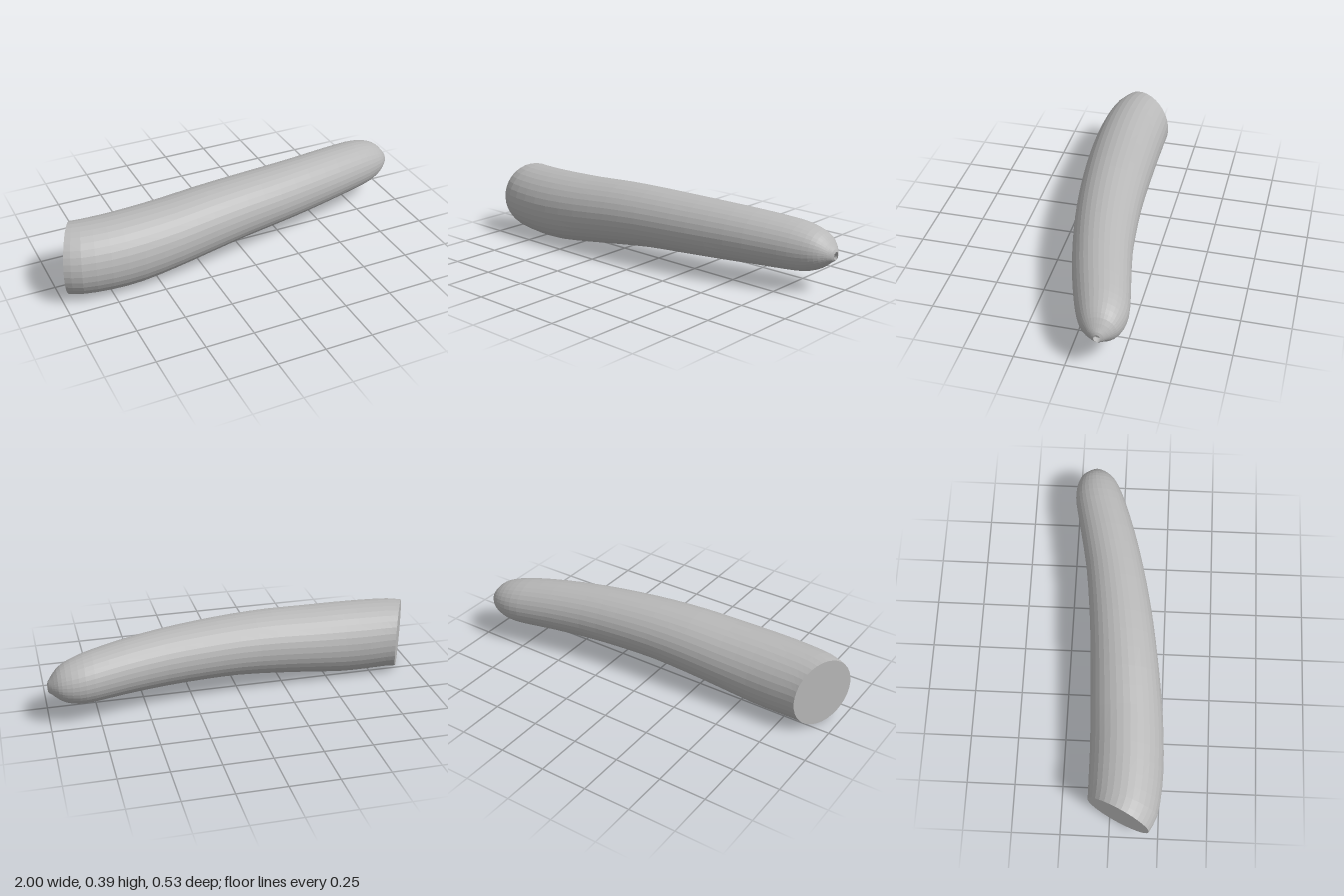
import * as THREE from 'three';

const SIDES = 34;
// Cross-sections: inner edge x,z; outer edge x,z; bottom y, top y
const SECTIONS = [
  [-0.85, -0.112, -1.0, 0.2, 0.01, 0.376],
  [-0.8, -0.112, -0.92, 0.239, 0.008, 0.379],
  [-0.71, -0.113, -0.77, 0.26, 0.003, 0.38],
  [-0.58, -0.114, -0.6, 0.262, 0.005, 0.383],
  [-0.4, -0.121, -0.4, 0.25, 0.029, 0.387],
  [-0.2, -0.13, -0.2, 0.227, 0.055, 0.396],
  [0, -0.142, 0, 0.199, 0.077, 0.397],
  [0.2, -0.16, 0.2, 0.165, 0.086, 0.392],
  [0.4, -0.185, 0.4, 0.122, 0.091, 0.384],
  [0.6, -0.224, 0.6, 0.07, 0.095, 0.37],
  [0.77, -0.259, 0.77, 0.016, 0.095, 0.351],
  [0.85, -0.265, 0.85, -0.014, 0.1, 0.335],
  [0.91, -0.255, 0.91, -0.042, 0.117, 0.314],
  [0.95, -0.236, 0.95, -0.07, 0.142, 0.287],
  [0.98, -0.205, 0.98, -0.103, 0.168, 0.251],
];
// Puckered tip: rolled rim, then a small hollow
const TIP = [
  [0.993, -0.186, 0.993, -0.124, 0.175, 0.235],
  [0.999, -0.174, 0.999, -0.138, 0.181, 0.222],
  [0.992, -0.176, 0.992, -0.138, 0.181, 0.211],
  [0.968, -0.174, 0.968, -0.14, 0.18, 0.205],
];

// Smoothly adds intermediate sections
function refine(rows, steps) {
  const out = [];
  for (let i = 0; i < rows.length - 1; i++) {
    const [a, b, c, d] = [-1, 0, 1, 2].map(k => rows[Math.min(rows.length - 1, Math.max(0, i + k))]);
    for (let s = 0; s < steps; s++) {
      const t = s / steps;
      out.push(b.map((v, k) => v + 0.5 * t * (c[k] - a[k]
        + t * (2 * a[k] - 5 * v + 4 * c[k] - d[k] + t * (3 * (v - c[k]) + d[k] - a[k])))));
    }
  }
  out.push(rows[rows.length - 1]);
  return out;
}

function ringPoints([xi, zi, xo, zo, yb, yt]) {
  return Array.from({ length: SIDES }, (_, j) => {
    const a = (j / SIDES) * Math.PI * 2, c = Math.cos(a) / 2;
    return [(xi + xo) / 2 + (xo - xi) * c, (yb + yt) / 2 + (yt - yb) / 2 * Math.sin(a), (zi + zo) / 2 + (zo - zi) * c];
  });
}

function makeMesh(name, positions, index, material) {
  const geo = new THREE.BufferGeometry();
  geo.setAttribute('position', new THREE.Float32BufferAttribute(positions.flat(), 3));
  geo.setIndex(index);
  const flat = geo.toNonIndexed();
  flat.computeVertexNormals();
  const mesh = new THREE.Mesh(flat, material);
  mesh.name = name;
  return mesh;
}

// Skin between successive rings
function loft(name, rows, material) {
  const index = [];
  for (let i = 0; i < rows.length - 1; i++) {
    for (let j = 0; j < SIDES; j++) {
      const a = i * SIDES + j, b = i * SIDES + (j + 1) % SIDES;
      index.push(a, a + SIDES, b, b, a + SIDES, b + SIDES);
    }
  }
  return makeMesh(name, rows.flatMap(ringPoints), index, material);
}

// Flat disc closing one ring
function cap(name, row, facesTip, material) {
  const index = [];
  for (let j = 1; j < SIDES - 1; j++) index.push(0, ...(facesTip ? [j + 1, j] : [j, j + 1]));
  return makeMesh(name, ringPoints(row), index, material);
}

export function createModel() {
  const group = new THREE.Group();
  group.name = 'curvedTaperedBody';
  const grey = new THREE.MeshStandardMaterial({ color: 0xb8b8b8 });
  grey.name = 'grey';

  group.add(loft('body', refine(SECTIONS, 2), grey));
  group.add(loft('puckeredTip', [SECTIONS[SECTIONS.length - 1], ...TIP], grey));
  group.add(cap('cutEnd', SECTIONS[0], false, grey));
  group.add(cap('tipHollow', TIP[TIP.length - 1], true, grey));
  return group;
}
